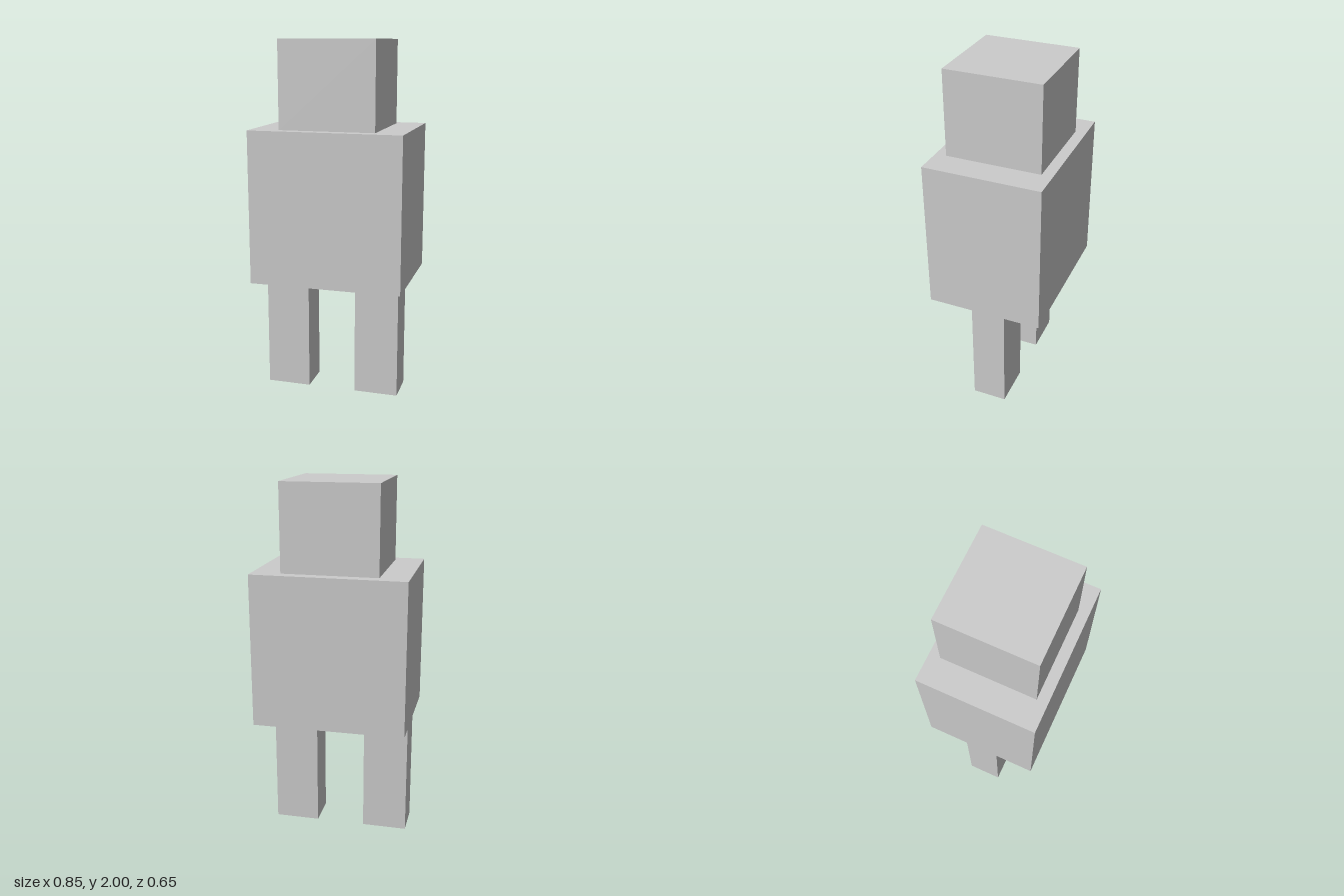
import * as THREE from 'three';

export function createModel() {
  const model = new THREE.Group();
  const material = new THREE.MeshStandardMaterial({ color: 0xcccccc, flatShading: true });

  // Adds a box standing on the height "bottom".
  function addBox(name, width, height, depth, x, bottom) {
    const mesh = new THREE.Mesh(new THREE.BoxGeometry(width, height, depth), material);
    mesh.name = name;
    mesh.position.set(x, bottom + height / 2, 0);
    model.add(mesh);
  }

  addBox('head', 0.528, 0.475, 0.528, 0, 1.525);
  addBox('torso', 0.845, 0.848, 0.65, 0, 0.677);

  // The legs sit slightly off centre, towards the model's right
  addBox('leftLeg', 0.25, 0.677, 0.196, 0.241, 0);
  addBox('rightLeg', 0.25, 0.677, 0.196, -0.285, 0);

  return model;
}
